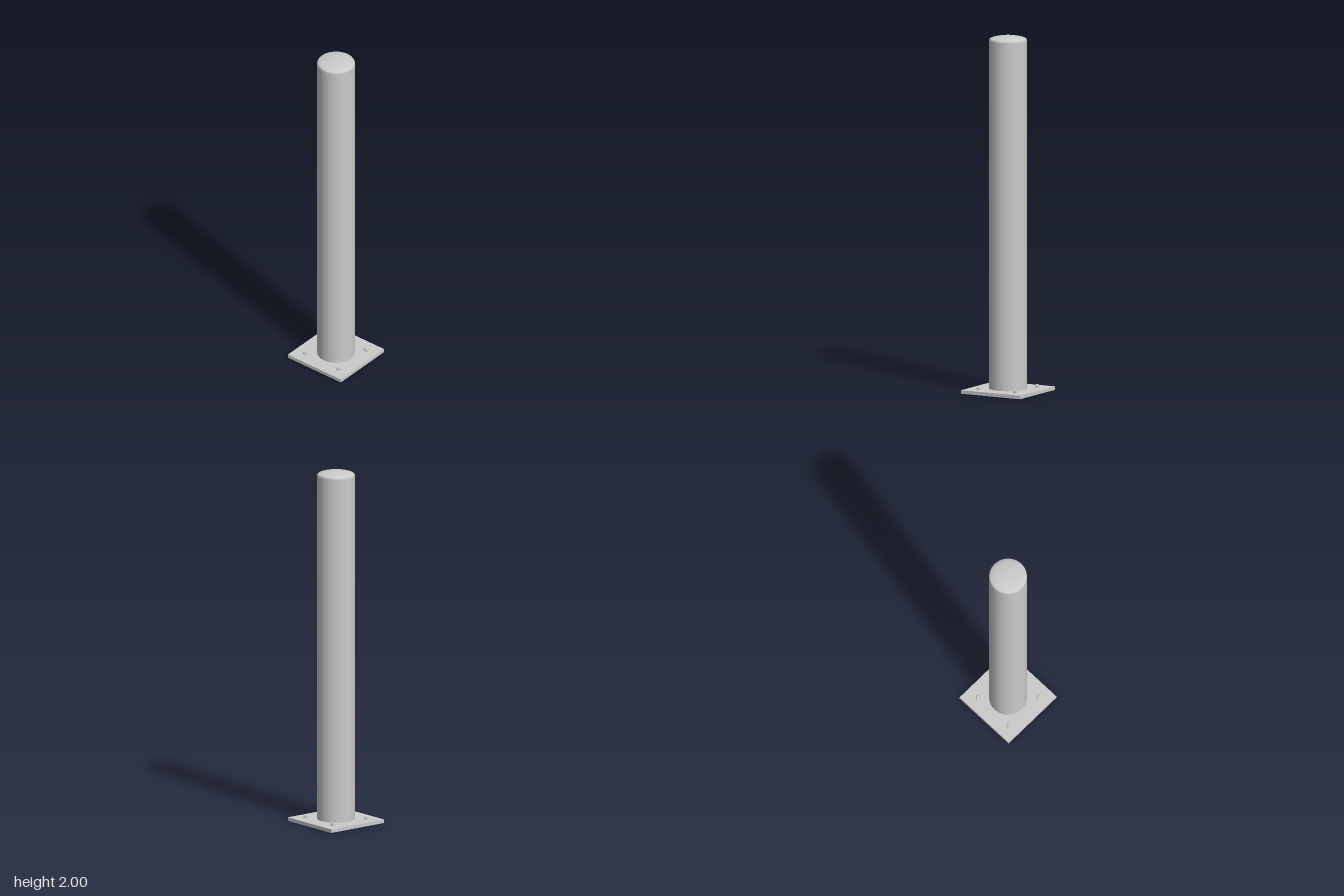
import * as THREE from 'three';

const SIDES = 24;
const PLATE_TOP = 0.02;

export function createModel() {
  const model = new THREE.Group();
  model.name = 'bollard';
  const material = new THREE.MeshStandardMaterial({ color: 0xcccccc });

  const add = (parent, name, geometry, x, y, z) => {
    const mesh = new THREE.Mesh(geometry, material);
    mesh.name = name;
    mesh.position.set(x, y, z);
    parent.add(mesh);
    return mesh;
  };

  // Square base plate
  add(model, 'basePlate', new THREE.BoxGeometry(0.38, PLATE_TOP, 0.38), 0, PLATE_TOP / 2, 0);

  // Post and shallow domed cap with a rounded shoulder, turned as one profile
  const profile = [
    [0.106, PLATE_TOP], [0.106, 1.972], [0.105, 1.978], [0.102, 1.983],
    [0.096, 1.987], [0.08, 1.992], [0.055, 1.997], [0.028, 1.999], [0, 2],
  ].map(([r, y]) => new THREE.Vector2(r, y));
  add(model, 'post', new THREE.LatheGeometry(profile, SIDES), 0, 0, 0);

  // Four anchor bolts: hexagonal nut with a domed stud end
  const nut = new THREE.CylinderGeometry(0.0145, 0.0145, 0.009, 6).toNonIndexed();
  nut.computeVertexNormals();
  const dome = new THREE.SphereGeometry(0.009, 16, 6, 0, Math.PI * 2, 0, Math.PI / 2);
  for (const x of [-0.119, 0.119]) {
    for (const z of [-0.119, 0.119]) {
      const bolt = new THREE.Group();
      bolt.name = 'anchorBolt';
      bolt.position.set(x, PLATE_TOP, z);
      add(bolt, 'nut', nut, 0, 0.0045, 0);
      add(bolt, 'studEnd', dome, 0, 0.009, 0);
      model.add(bolt);
    }
  }
  return model;
}
